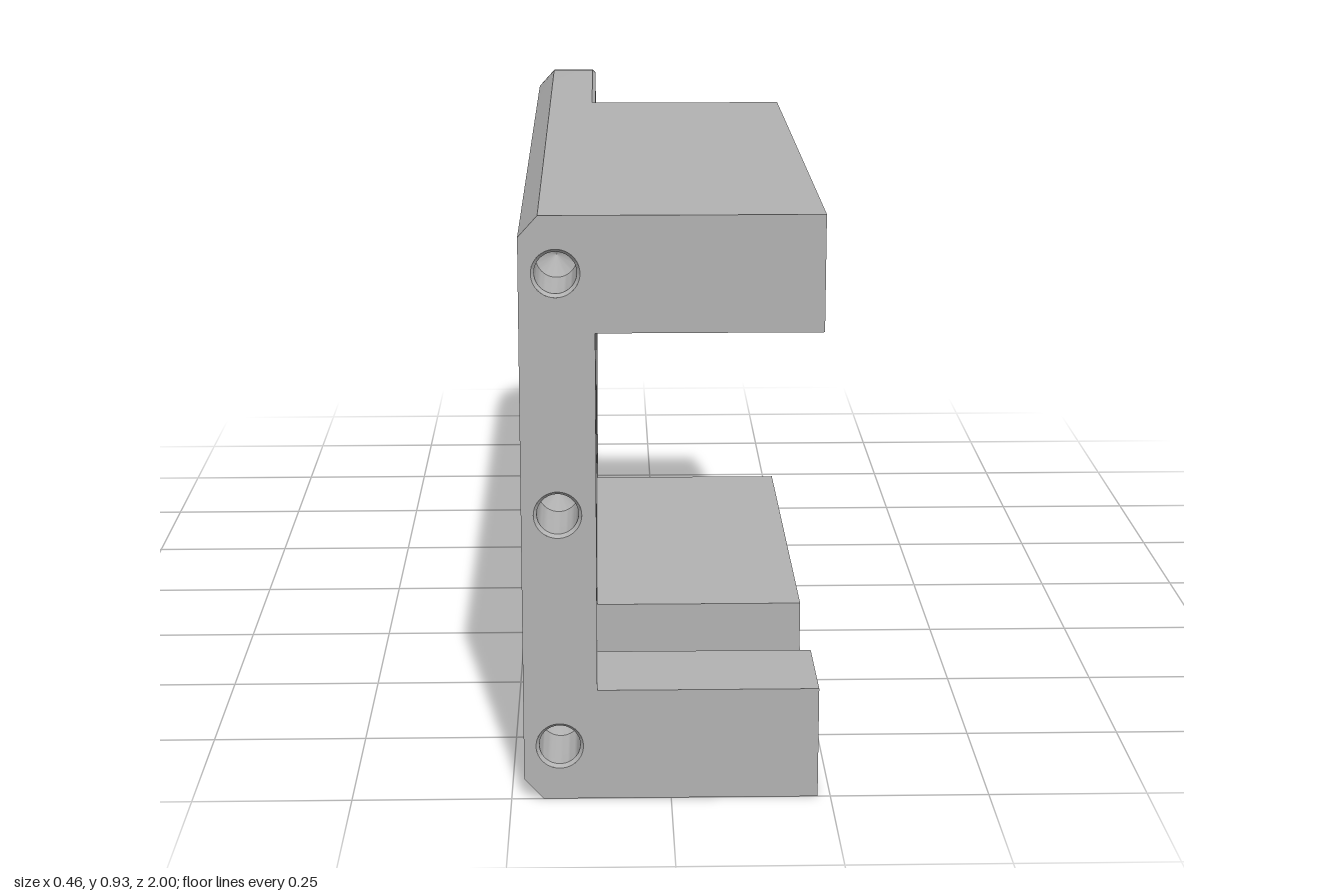
import * as THREE from 'three';
import { toCreasedNormals } from 'three/addons/utils/BufferGeometryUtils.js';

const V = (x, y) => new THREE.Vector2(x, y);
const H = 0.93, MID = H / 2, R = H / 2;      // plate height, mid height, round end radius
const OUT = -0.23, IN = -0.115, EDGE = 0.23; // plate outer face, inner face, flange edge
const FLOOR = -0.193;                        // pocket floor
const END = 0.535;                           // centre of the round end

const metal = new THREE.MeshStandardMaterial({ color: 0xb2b2b2, side: THREE.DoubleSide });
metal.name = 'grey metal';

function circle(u, v, r) {
  return new THREE.Path().absarc(u, v, r, 0, Math.PI * 2, true);
}

// Plate outline inset by d, open at the straight front end
function outline(d, from = -2) {
  const inset = (u) => (u > from ? d : 0);
  const us = [-1, 0.11, 0.115, END];
  const pts = us.map((u) => V(u, inset(u)));
  for (let i = 1; i < 48; i++) {
    const a = -Math.PI / 2 + (Math.PI * i) / 48;
    pts.push(V(END + (R - d) * Math.cos(a), MID + (R - d) * Math.sin(a)));
  }
  us.reverse().forEach((u) => pts.push(V(u, H - inset(u))));
  return pts;
}

// Wall joining loops of points; each ring is [points, depth]
function wall(rings) {
  const pos = [], index = [], n = rings[0][0].length;
  rings.forEach(([pts, w]) => pts.forEach((p) => pos.push(p.x, p.y, w)));
  for (let k = 0; k < rings.length - 1; k++) {
    for (let i = 0; i < n - 1; i++) {
      const a = k * n + i, b = a + n;
      index.push(a, a + 1, b, a + 1, b + 1, b);
    }
  }
  const g = new THREE.BufferGeometry();
  g.setAttribute('position', new THREE.Float32BufferAttribute(pos, 3));
  g.setIndex(index);
  return toCreasedNormals(g, 0.4);
}

// Flat face at a depth, optionally turned to look the other way
function face(pts, holes, w, flip) {
  const s = new THREE.Shape(pts);
  s.holes = holes;
  const g = new THREE.ShapeGeometry(s, 32);
  g.translate(0, 0, w);
  if (flip) {
    const ix = g.index;
    for (let i = 0; i < ix.count; i += 3) {
      const t = ix.getX(i);
      ix.setX(i, ix.getX(i + 1));
      ix.setX(i + 1, t);
    }
    g.computeVertexNormals();
  }
  return g;
}

// Turned hole lining from [radius, depth] pairs
function bore(profile, u, v) {
  const g = new THREE.LatheGeometry(profile.map(([r, w]) => V(r, w)), 48);
  g.rotateX(Math.PI / 2);
  g.translate(u, v, 0);
  return toCreasedNormals(g, 0.4);
}

// Countersunk blind hole with a drill point
const blind = (w, depth) => [
  [0, w - depth - 0.02], [0.032, w - depth], [0.032, w - 0.006], [0.037, w]];

export function createModel() {
  const model = new THREE.Group();
  model.name = 'bracket';
  // Side profiles are drawn as (-z, y) and run along x
  const side = new THREE.Group();
  side.name = 'sideProfiles';
  side.rotation.y = Math.PI / 2;
  model.add(side);
  const add = (geo, name, parent = side) => {
    const m = new THREE.Mesh(geo, metal);
    m.name = name;
    parent.add(m);
  };

  // Hole positions
  const screws = [];
  for (const u of [-0.355, 0.055]) for (const dv of [-0.205, 0.205]) screws.push([u, MID + dv]);
  const pins = [[0.176, MID - 0.328], [0.176, MID + 0.328]];
  const flangeHole = [0.07, 0.09];

  // Long slot and the pocket around it
  const slot = [], su = -0.717, sr = 0.073;
  for (let i = 0; i <= 32; i++) {
    const a = (Math.PI * i) / 16, top = i <= 16;
    slot.push(V(su + sr * Math.cos(a), (top ? 0.562 : 0.368) + sr * Math.sin(a)));
  }
  slot[32].copy(slot[0]);
  const pocket = [V(-0.83, 0.045), V(-0.605, 0.045), V(-0.605, 0.635), V(-0.83, 0.635), V(-0.83, 0.045)];
  const slotPath = () => new THREE.Path(slot.slice(0, -1));

  // Plate faces and chamfered rim
  add(face(outline(0.033), [
    circle(END, MID, 0.185), circle(-0.15, MID, 0.073), slotPath(),
    ...[...screws, flangeHole].map(([u, v]) => circle(u, v, 0.049)),
    ...pins.map(([u, v]) => circle(u, v, 0.035)),
  ], OUT, true), 'plateOuterFace');
  add(face(outline(0.006, 0.112), [
    circle(END, MID, 0.185), circle(-0.15, MID, 0.15), new THREE.Path(pocket.slice(0, -1)),
    ...screws.map(([u, v]) => circle(u, v, 0.032)), circle(...flangeHole, 0.03),
  ], IN), 'plateInnerFace');
  add(wall([
    [outline(0.033), OUT], [outline(0), -0.2],
    [outline(0), IN - 0.006], [outline(0.006, 0.112), IN],
  ]), 'plateRim');

  // Pocket and slot
  add(face(pocket.slice(0, -1), [slotPath()], FLOOR), 'pocketFloor');
  add(wall([[pocket, IN], [pocket, FLOOR]]), 'pocketWalls');
  add(wall([[slot, FLOOR], [slot, OUT]]), 'slotWalls');

  // Bearing hole with a ring groove
  add(bore([[0.185, OUT], [0.174, -0.22], [0.174, -0.17], [0.19, -0.17], [0.19, -0.148],
    [0.174, -0.148], [0.174, -0.125], [0.185, IN]], END, MID), 'bearingHole');
  // Stepped centre hole
  add(bore([[0.073, OUT], [0.068, -0.225], [0.068, -0.15], [0.144, -0.15],
    [0.144, -0.121], [0.15, IN]], -0.15, MID), 'centreHole');
  // Counterbored screw holes and blind pin holes
  for (const [u, v] of screws) {
    add(bore([[0.049, OUT], [0.049, -0.17], [0.027, -0.17], [0.027, -0.12], [0.032, IN]], u, v), 'screwHole');
  }
  for (const [u, v] of pins) {
    add(bore([[0.035, OUT], [0.03, -0.225], [0.03, -0.16], [0, -0.145]], u, v), 'pinHole');
  }
  add(bore([[0.049, OUT], [0.049, -0.17], [0.03, -0.17], [0.03, IN]], ...flangeHole), 'flangeThroughHole');

  // Flanges with a chamfered back corner; the lower one is notched by the pocket
  const flange = (pts, v, r, name) => {
    const s = new THREE.Shape(pts.map(([a, b]) => V(a, b)));
    s.holes.push(circle(0.07, v, r));
    const g = new THREE.ExtrudeGeometry(s, { depth: EDGE - IN, bevelEnabled: false, curveSegments: 24 });
    g.translate(0, 0, IN);
    add(toCreasedNormals(g, 0.4), name);
  };
  flange([[-1, 0.75], [0.14, 0.75], [0.14, 0.9], [0.11, H], [-1, H]], H - 0.09, 0.037, 'upperFlange');
  flange([[-1, 0], [0.11, 0], [0.14, 0.03], [0.14, 0.18], [-0.605, 0.18], [-0.605, 0.045],
    [-0.83, 0.045], [-0.83, 0.18], [-1, 0.18]], 0.09, 0.03, 'lowerFlange');
  add(bore(blind(EDGE, 0.12), 0.07, H - 0.09), 'flangeBlindHole');

  // Front end of the plate with three drilled holes
  const ys = [0.088, MID, H - 0.088];
  add(face([V(-0.2, 0), V(IN, 0), V(IN, H), V(-0.2, H), V(OUT, H - 0.033), V(OUT, 0.033)],
    ys.map((y) => circle(-0.174, y, 0.037)), 1), 'plateFrontEnd', model);
  for (const y of ys) add(bore(blind(1, 0.12), -0.174, y), 'frontHole', model);

  return model;
}
